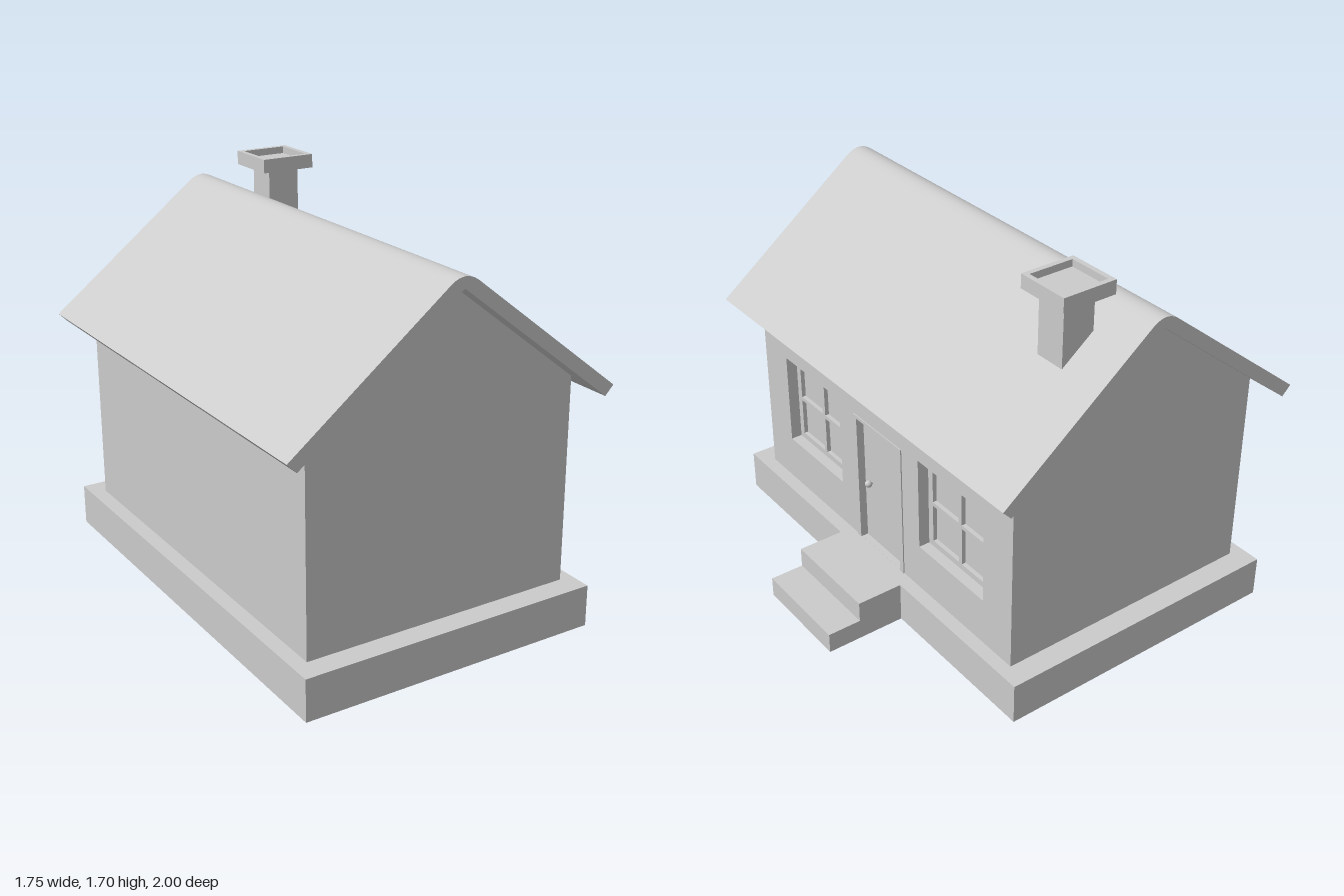
import * as THREE from 'three';
import { toCreasedNormals } from 'three/addons/utils/BufferGeometryUtils.js';

const solid = new THREE.MeshStandardMaterial({ color: 0xcccccc });
const sheet = new THREE.MeshStandardMaterial({ color: 0xcccccc, side: THREE.DoubleSide });

// Main sizes
const LEFT = -0.745, RIGHT = 0.455, RIDGE = -0.145, HALF = 0.9;
const BASE = 0.18, EAVE = 1.06, APEX = 1.53;

function add(parent, name, geometry, material = solid) {
  const mesh = new THREE.Mesh(geometry, material);
  mesh.name = name;
  parent.add(mesh);
  return mesh;
}

function poly(points) {
  return new THREE.Shape(points.map(([x, y]) => new THREE.Vector2(x, y)));
}

const rect = (x0, y0, x1, y1) => poly([[x0, y0], [x1, y0], [x1, y1], [x0, y1]]);

function withHoles(shape, ...holes) {
  shape.holes.push(...holes);
  return shape;
}

function extrude(shape, from, to) {
  return new THREE.ExtrudeGeometry(shape, { depth: to - from, bevelEnabled: false, curveSegments: 10 })
    .translate(0, 0, from);
}

function box(x0, x1, y0, y1, z0, z1) {
  return new THREE.BoxGeometry(x1 - x0, y1 - y0, z1 - z0)
    .translate((x0 + x1) / 2, (y0 + y1) / 2, (z0 + z1) / 2);
}

// Flat-faced strip made by sweeping a path along an offset
function ribbon(path, [ox, oy, oz]) {
  const p = [];
  for (let i = 0; i + 1 < path.length; i++) {
    const [a, b] = [path[i], path[i + 1]];
    const [c, d] = [b, a].map(([x, y, z]) => [x + ox, y + oy, z + oz]);
    p.push(...a, ...b, ...c, ...a, ...c, ...d);
  }
  const g = new THREE.BufferGeometry();
  g.setAttribute('position', new THREE.Float32BufferAttribute(p, 3));
  g.computeVertexNormals();
  return g;
}

// Box without its +x face, used for openings sunk into the wall
function recess(...size) {
  const g = box(...size);
  g.setIndex(Array.from(g.index.array).slice(6));
  return g;
}

// Turns a drawing in (-z, y) so that it faces +x
const faceRight = (g) => g.rotateY(Math.PI / 2);

function createBase() {
  const base = new THREE.Group();
  base.name = 'base';
  const x0 = -0.81, x1 = 0.515, s = 0.23;

  // Hollow plinth, open below and behind the steps
  add(base, 'plinthSides', ribbon(
    [[x1, 0, s], [x1, 0, 1], [x0, 0, 1], [x0, 0, -1], [x1, 0, -1], [x1, 0, -s]].reverse(),
    [0, BASE, 0]), sheet);
  const ledge = withHoles(rect(x0, -1, x1, 1), rect(LEFT, -HALF, RIGHT, HALF));
  add(base, 'plinthLedge', new THREE.ShapeGeometry(ledge).rotateX(-Math.PI / 2).translate(0, BASE, 0), sheet);

  // Two steps
  const profile = [[x1, BASE], [0.72, BASE], [0.72, 0.09], [0.87, 0.09], [0.87, 0]];
  add(base, 'stepTreads', ribbon(profile.map(([x, y]) => [x, y, s]), [0, 0, -2 * s]), sheet);
  for (const z of [-s, s]) {
    const side = new THREE.ShapeGeometry(poly([...profile, [x1, 0]]));
    if (z < 0) side.rotateY(Math.PI).scale(-1, 1, 1);
    add(base, 'stepSide', side.translate(0, 0, z), sheet);
  }
  return base;
}

function createWalls() {
  const walls = new THREE.Group();
  walls.name = 'walls';
  const gable = poly([[LEFT, BASE], [RIGHT, BASE], [RIGHT, EAVE], [RIDGE, APEX], [LEFT, EAVE]]);
  add(walls, 'frontGable', new THREE.ShapeGeometry(gable).translate(0, 0, HALF), sheet);
  add(walls, 'backGable', new THREE.ShapeGeometry(gable).translate(0, 0, -HALF), sheet);
  add(walls, 'plainWall', ribbon([[LEFT, BASE, -HALF], [LEFT, BASE, HALF]], [0, EAVE - BASE, 0]), sheet);

  // Entrance wall with openings for the door and windows
  const entrance = withHoles(rect(-HALF, BASE, HALF, EAVE),
    rect(-0.15, BASE + 0.001, 0.15, 0.79),
    rect(-0.72, 0.39, -0.29, 0.815), rect(0.29, 0.39, 0.72, 0.815));
  add(walls, 'entranceWall', faceRight(new THREE.ShapeGeometry(entrance)).translate(RIGHT, 0, 0), sheet);
  return walls;
}

function createWindow(z) {
  const win = new THREE.Group();
  win.name = 'window';
  add(win, 'windowRecess', recess(0.385, RIGHT, 0.39, 0.815, -0.215, 0.215), sheet);
  // Frame with four panes
  const frame = rect(-0.215, 0.39, 0.215, 0.815);
  for (const u of [-0.185, 0.01])
    for (const y of [0.417, 0.61])
      frame.holes.push(rect(u, y, u + 0.175, y + 0.175));
  add(win, 'windowFrame', faceRight(extrude(frame, 0.386, 0.405)));
  win.position.z = z;
  return win;
}

function createDoor() {
  const door = new THREE.Group();
  door.name = 'door';
  add(door, 'doorPanel', recess(0.425, RIGHT, BASE, 0.79, -0.15, 0.15), sheet);
  const frame = poly([[-0.175, BASE], [-0.15, BASE], [-0.15, 0.79], [0.15, 0.79],
    [0.15, BASE], [0.175, BASE], [0.175, 0.805], [-0.175, 0.805]]);
  add(door, 'doorFrame', faceRight(extrude(frame, 0.435, 0.46)));
  // Knob on a short stem
  add(door, 'doorKnobStem', new THREE.CylinderGeometry(0.008, 0.008, 0.02, 12).rotateZ(Math.PI / 2)
    .translate(0.432, 0.48, 0.1));
  add(door, 'doorKnob', new THREE.SphereGeometry(0.016, 16, 12).translate(0.443, 0.48, 0.1));
  return door;
}

function createRoof() {
  // Gable profile with a rounded ridge
  const s = poly([[RIDGE, APEX], [0.545, 0.99], [0.583, 1.03]]);
  s.lineTo(-0.075, 1.545);
  s.quadraticCurveTo(RIDGE, 1.605, -0.215, 1.545);
  s.lineTo(-0.875, 1.03);
  s.lineTo(-0.835, 0.99);
  const group = new THREE.Group();
  add(group, 'roof', toCreasedNormals(extrude(s, -1, 1), 0.5));
  return group.children[0];
}

function createChimney() {
  const chimney = new THREE.Group();
  chimney.name = 'chimney';
  const stack = poly([[0.01, 1.45], [0.155, 1.337], [0.155, 1.635], [0.01, 1.635]]);
  add(chimney, 'chimneyStack', extrude(stack, -0.79, -0.65));
  // Cap with a sunken top
  const rim = withHoles(rect(-0.04, 0.605, 0.205, 0.845), rect(-0.018, 0.627, 0.183, 0.823));
  add(chimney, 'chimneyCap', extrude(rim, 1.635, 1.695).translate(0, 0, -1.635)
    .rotateX(-Math.PI / 2).translate(0, 1.635, 0));
  add(chimney, 'chimneyCapFloor', box(-0.03, 0.195, 1.636, 1.665, -0.835, -0.615));
  return chimney;
}

export function createModel() {
  const house = new THREE.Group();
  house.name = 'house';
  house.add(createBase(), createWalls(), createDoor(),
    createWindow(0.505), createWindow(-0.505), createRoof(), createChimney());
  return house;
}
